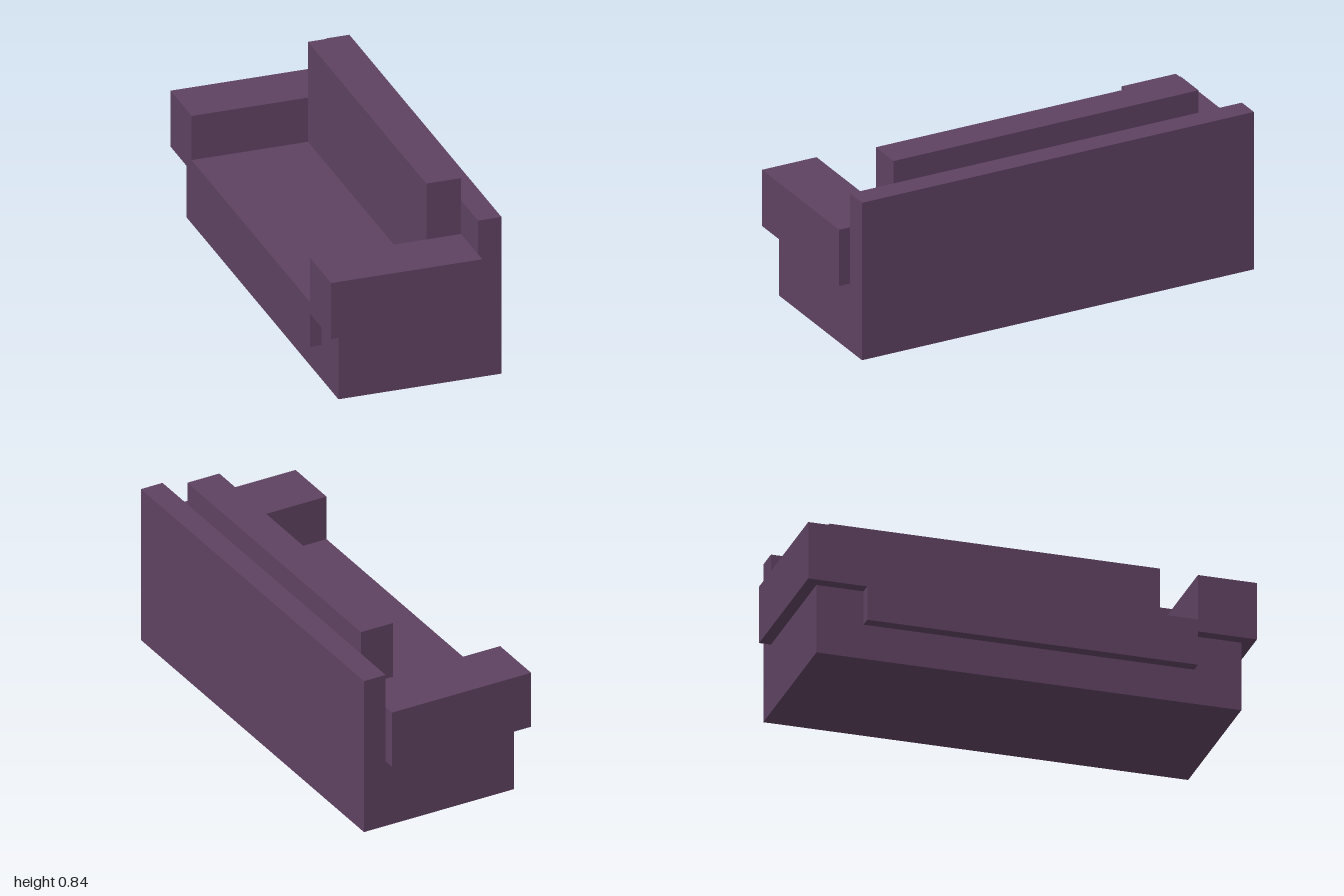
import * as THREE from 'three';

export function createModel() {
  const sofa = new THREE.Group();
  sofa.name = 'sofa';
  const fabric = new THREE.MeshStandardMaterial({ color: 0x5e4261 });
  fabric.name = 'plum fabric';

  function add(name, geometry) {
    const mesh = new THREE.Mesh(geometry, fabric);
    mesh.name = name;
    sofa.add(mesh);
  }

  // Box given by its limits on each axis
  function block(name, [x0, x1], [y0, y1], [z0, z1]) {
    const geometry = new THREE.BoxGeometry(x1 - x0, y1 - y0, z1 - z0);
    geometry.translate((x0 + x1) / 2, (y0 + y1) / 2, (z0 + z1) / 2);
    add(name, geometry);
  }

  // Base and backrest: one L-shaped profile run along the sofa's length
  const profile = new THREE.Shape([
    [-0.342, 0], [0.394, 0], [0.394, 0.738],
    [0.288, 0.738], [0.288, 0.316], [-0.342, 0.316],
  ].map(([x, y]) => new THREE.Vector2(x, y)));
  const frame = new THREE.ExtrudeGeometry(profile, { depth: 1.894, bevelEnabled: false });
  frame.translate(0, 0, -0.947);
  add('frame', frame);

  // Cushions between the arms
  block('seatCushion', [-0.394, 0.288], [0.16, 0.372], [-0.737, 0.737]);
  block('backCushion', [0.131, 0.288], [0.372, 0.843], [-0.737, 0.737]);

  // Arms, overhanging the ends of the base
  block('frontArm', [-0.394, 0.288], [0.316, 0.58], [0.737, 1]);
  block('rearArm', [-0.394, 0.288], [0.316, 0.58], [-1, -0.737]);

  return sofa;
}
